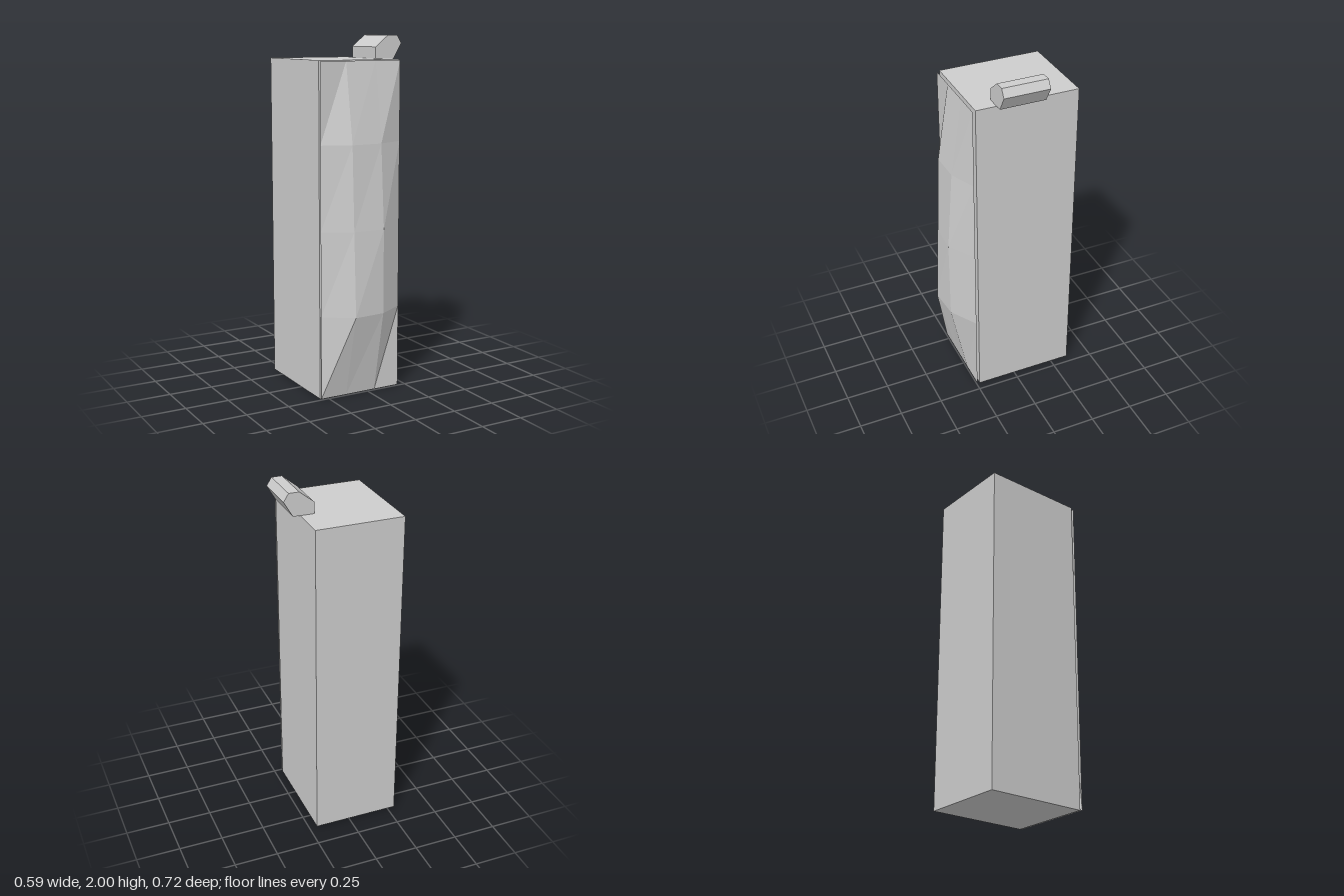
import * as THREE from 'three';

export function createModel() {
  const model = new THREE.Group();
  const grey = new THREE.MeshStandardMaterial({ color: 0xcccccc, flatShading: true, side: THREE.DoubleSide });
  grey.name = 'plainGrey';

  const add = (name, geometry) => {
    const mesh = new THREE.Mesh(geometry, grey);
    mesh.name = name;
    model.add(mesh);
    return mesh;
  };

  // Tall rectangular body
  add('body', new THREE.BoxGeometry(0.498, 1.87, 0.59)).position.set(-0.046, 0.935, -0.065);

  // Faceted front panel: flat border, bulging inner points
  const xs = [-0.295, -0.137, 0.046, 0.203];
  const ys = [1.865, 1.42, 0.95, 0.475, 0.003];
  const bulge = [[0, 0], [0.315, 0.31], [0.335, 0.342], [0.356, 0.341], [0, 0]];
  const panel = new THREE.PlaneGeometry(1, 1, 3, 4);
  ys.forEach((y, row) => xs.forEach((x, col) => {
    const inner = col > 0 && col < 3 ? bulge[row][col - 1] : 0;
    panel.attributes.position.setXYZ(row * 4 + col, x, y, inner || 0.245);
  }));
  panel.computeVertexNormals();
  add('frontPanel', panel);

  // Six-sided bar overhanging the top edge
  const profile = [[0.125, 1.87], [0.243, 1.87], [0.293, 1.955], [0.265, 2], [0.206, 2], [0.125, 1.935]];
  const shape = new THREE.Shape(profile.map(([x, y]) => new THREE.Vector2(x, y)));
  add('topBar', new THREE.ExtrudeGeometry(shape, { depth: 0.261, bevelEnabled: false })).position.z = -0.148;

  return model;
}
